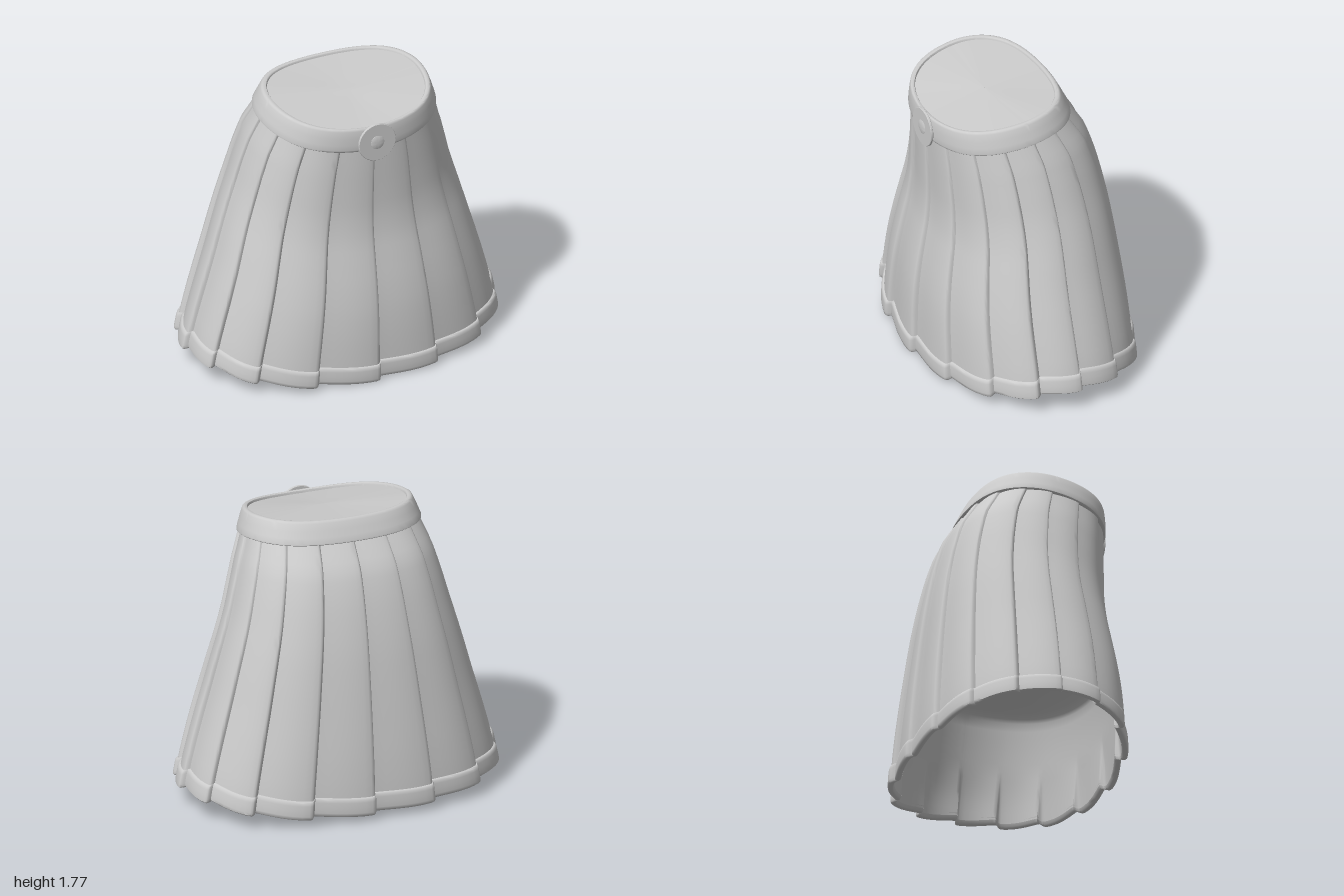
import * as THREE from 'three';
import { toCreasedNormals } from 'three/addons/utils/BufferGeometryUtils.js';

const PLEATS = 16;
// one knife pleat: [fraction across the pleat, height of the fold]
const FOLD = [[0, 0], [0.012, 0.35], [0.028, 0.72], [0.05, 0.92], [0.09, 1], [0.2, 0.98], [0.35, 0.86],
  [0.5, 0.67], [0.65, 0.44], [0.8, 0.21], [0.92, 0.05]];
const COLUMNS = [];
for (let k = 0; k < PLEATS; k++) {
  for (const [f, h] of FOLD) COLUMNS.push({ t: ((k + f) / PLEATS) * Math.PI * 2, fold: h });
}

// silhouette from waist (v = 0) to hem (v = 1): half width, front depth, back depth
const PROFILE = new THREE.CatmullRomCurve3([
  [0.535, 0.53, 0.28], [0.592, 0.525, 0.388], [0.635, 0.519, 0.442], [0.675, 0.516, 0.48],
  [0.72, 0.526, 0.51], [0.765, 0.551, 0.533], [0.808, 0.576, 0.553], [0.853, 0.594, 0.571],
  [0.897, 0.603, 0.587], [0.938, 0.606, 0.599], [0.97, 0.606, 0.606],
].map((p) => new THREE.Vector3(...p)));

// waist and hem heights by direction s (1 = front, -1 = back)
const waistY = (s) => 1.625 - 0.062 * s - 0.04 * s * s;
const beltTopY = (s) => 1.755 - 0.052 * s - 0.033 * s * s;
const hemY = (s) => 0.14 - (s > 0 ? 0.125 : 0.09) * s * s;

// point on an oval given by half width, front and back reach, pushed out by an offset;
// its corners are a little fuller than an ellipse, mostly at the back
function ovalPoint(t, a, front, back, offset, y) {
  const c = 0.36 * (front - back);
  const isFront = Math.sin(t) >= 0;
  const b = isFront ? front - c : back + c;
  const full = Math.sin(2 * t) ** 2;
  const x = Math.cos(t) + 0.03 * full * Math.sign(Math.cos(t));
  const s = Math.sin(t) + (isFront ? 0.035 : -0.06) * full;
  const n = new THREE.Vector2(b * Math.cos(t), a * Math.sin(t)).normalize();
  return new THREE.Vector3(a * x + n.x * offset, y, c + b * s + n.y * offset);
}

// point on the pleated cloth at height fraction v
function clothPoint({ t, fold }, v, offset, pleat = 1) {
  const p = PROFILE.getPoint(v);
  const s = Math.sin(t);
  const depth = pleat * (0.015 + 0.017 * Math.min(1, v * 1.4));
  const out = offset + depth * (fold - 0.5);
  const y = THREE.MathUtils.lerp(waistY(s), hemY(s), v) - fold * 0.012 * v * pleat;
  return ovalPoint(t, p.x, p.y, p.z, out, y);
}

// skin a list of closed rings; each ring is a function of a column
function loft(rings, crease) {
  const n = COLUMNS.length, pos = [], index = [];
  for (const ring of rings) for (const col of COLUMNS) pos.push(...ring(col).toArray());
  for (let r = 0; r < rings.length - 1; r++) {
    for (let j = 0; j < n; j++) {
      const k = (j + 1) % n;
      const a = r * n + j, b = r * n + k, c = a + n, d = b + n;
      index.push(a, b, c, b, d, c);
    }
  }
  const g = new THREE.BufferGeometry();
  g.setAttribute('position', new THREE.Float32BufferAttribute(pos, 3));
  g.setIndex(index);
  return toCreasedNormals(g, crease);
}

export function createModel() {
  const model = new THREE.Group();
  model.name = 'pleatedSkirt';
  const material = new THREE.MeshStandardMaterial({ color: 0xcccccc, side: THREE.DoubleSide });
  const add = (name, geometry, parent = model) => {
    const mesh = new THREE.Mesh(geometry, material);
    mesh.name = name;
    parent.add(mesh);
  };

  // outer pleated cloth
  const outer = [];
  for (let i = 0; i <= 30; i++) outer.push((col) => clothPoint(col, (i / 30) * 0.96, 0));
  add('pleats', loft(outer, 0.8));

  // hem band: rolls out over the cloth, down, and under to the lining
  const hem = [[0.928, -0.005], [0.929, 0.007], [0.934, 0.013], [0.945, 0.015], [0.965, 0.015],
    [0.985, 0.015], [0.996, 0.012], [1, 0.004], [1, -0.014], [0.995, -0.022], [0.975, -0.026]];
  add('hemBand', loft(hem.map(([v, o]) => (col) => clothPoint(col, v, o)), 0.8));

  // lining: folds fade upward into a smooth wall that closes with a shallow dome
  const lining = [];
  const TOP = 0.6;
  for (let i = 0; i <= 12; i++) {
    const u = i / 12;
    lining.push((col) => clothPoint(col, 0.985 + (TOP - 0.985) * u, -0.026, Math.max(0, 1 - u * 2)));
  }
  for (let i = 1; i <= 8; i++) {
    const k = Math.max(Math.cos((i / 8) * Math.PI / 2), 0.002);
    lining.push((col) => {
      const p = clothPoint(col, TOP, -0.026, 0);
      return new THREE.Vector3(p.x * k, p.y * k + 0.73 * (1 - k) + 0.1 * Math.sqrt(1 - k * k), p.z * k);
    });
  }
  add('lining', loft(lining, 1.2));

  // waistband: inside face, rounded top edge, flared outside, lower lip
  const band = [
    [0.472, 0.523, 0.208, 0.6], [0.472, 0.523, 0.208, 0.93], [0.476, 0.526, 0.212, 0.98],
    [0.485, 0.533, 0.22, 1], [0.497, 0.541, 0.23, 1], [0.504, 0.546, 0.237, 0.97],
    [0.51, 0.549, 0.244, 0.9], [0.526, 0.552, 0.264, 0.6], [0.54, 0.553, 0.282, 0.3],
    [0.551, 0.552, 0.297, 0.07], [0.551, 0.55, 0.298, 0.01], [0.545, 0.543, 0.292, -0.03],
    [0.515, 0.515, 0.26, -0.03],
  ];
  const bandRing = ([a, f, b, h]) => ({ t }) => {
    const s = Math.sin(t);
    return ovalPoint(t, a, f, b, 0, THREE.MathUtils.lerp(waistY(s), beltTopY(s), h));
  };
  add('waistband', loft(band.map(bandRing), 0.7));

  // panel closing the waist just below the rim
  const rim = bandRing([0.474, 0.525, 0.21, 0.88]);
  const centre = new THREE.Vector3(0, 1.725, 0.15);
  add('waistPanel', loft([0.002, 0.35, 0.7, 1].map((k) => (col) => centre.clone().lerp(rim(col), k)), 1));

  // round buckle with a raised button
  const buckle = new THREE.Group();
  buckle.name = 'buckle';
  buckle.position.set(0, 1.57, 0.552);
  const lathe = (points) => toCreasedNormals(
    new THREE.LatheGeometry(points.map((p) => new THREE.Vector2(...p)), 48).rotateX(Math.PI / 2), 0.6);
  add('buckleDisc', lathe([[0, -0.006], [0.117, -0.006], [0.12, -0.003], [0.12, 0.007], [0.117, 0.01], [0, 0.01]]), buckle);
  add('buckleButton', lathe([[0.045, 0.008], [0.043, 0.011], [0.034, 0.014], [0.02, 0.016], [0, 0.017]]), buckle);
  model.add(buckle);

  return model;
}
